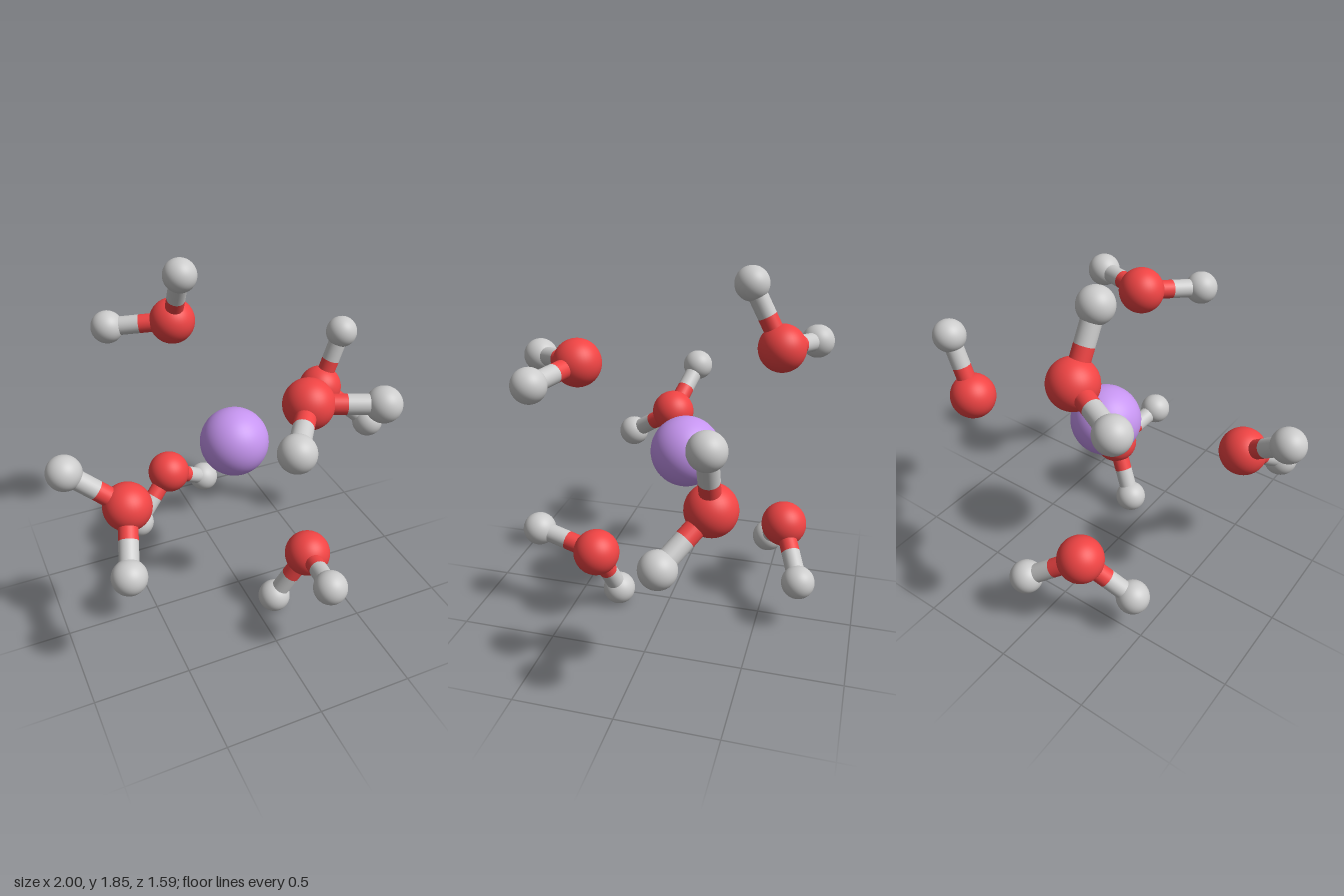
import * as THREE from 'three';

const ION_RADIUS = 0.182, OXYGEN_RADIUS = 0.121, HYDROGEN_RADIUS = 0.087, BOND_RADIUS = 0.049;

const grey = new THREE.MeshStandardMaterial({ color: 0xcccccc });
const red = new THREE.MeshStandardMaterial({ color: 0xf04444 });
const purple = new THREE.MeshStandardMaterial({ color: 0xc695f0 });

// Each water molecule: oxygen centre, then its two hydrogen centres
const WATERS = [
  [[-0.145, 1.46, -0.535], [-0.15, 1.77, -0.372], [-0.46, 1.42, -0.682]],
  [[0.158, 1.40, 0.427], [-0.043, 1.358, 0.708], [0.487, 1.38, 0.54]],
  [[-0.652, 0.874, 0.154], [-0.914, 1.09, 0.066], [-0.744, 0.684, 0.43]],
  [[0.679, 0.961, -0.367], [0.797, 1.287, -0.368], [0.909, 0.77, -0.19]],
  [[-0.194, 0.46, -0.592], [-0.433, 0.237, -0.479], [0.072, 0.27, -0.711]],
  [[0.257, 0.398, 0.331], [0.203, 0.463, 0.67], [0.10, 0.09, 0.264]],
];

function atom(name, centre, radius, material) {
  const mesh = new THREE.Mesh(new THREE.SphereGeometry(radius, 40, 28), material);
  mesh.name = name;
  mesh.position.copy(centre);
  return mesh;
}

// Cylinder running from one point to another
function rod(name, from, to, material) {
  const dir = to.clone().sub(from);
  const geometry = new THREE.CylinderGeometry(BOND_RADIUS, BOND_RADIUS, dir.length(), 28);
  const mesh = new THREE.Mesh(geometry, material);
  mesh.name = name;
  mesh.position.copy(from).add(to).multiplyScalar(0.5);
  mesh.quaternion.setFromUnitVectors(new THREE.Vector3(0, 1, 0), dir.normalize());
  return mesh;
}

function waterMolecule(points) {
  const group = new THREE.Group();
  group.name = 'waterMolecule';
  const [oxygen, ...hydrogens] = points.map((p) => new THREE.Vector3(...p));
  group.add(atom('oxygen', oxygen, OXYGEN_RADIUS, red));
  for (const hydrogen of hydrogens) {
    // Bond changes colour halfway between the two atoms
    const middle = oxygen.clone().lerp(hydrogen, 0.5);
    group.add(
      atom('hydrogen', hydrogen, HYDROGEN_RADIUS, grey),
      rod('oxygenBond', oxygen, middle, red),
      rod('hydrogenBond', middle, hydrogen, grey),
    );
  }
  return group;
}

export function createModel() {
  const model = new THREE.Group();
  model.name = 'hydratedIon';
  model.add(atom('centralIon', new THREE.Vector3(0.016, 0.925, -0.09), ION_RADIUS, purple));
  for (const points of WATERS) model.add(waterMolecule(points));
  return model;
}
